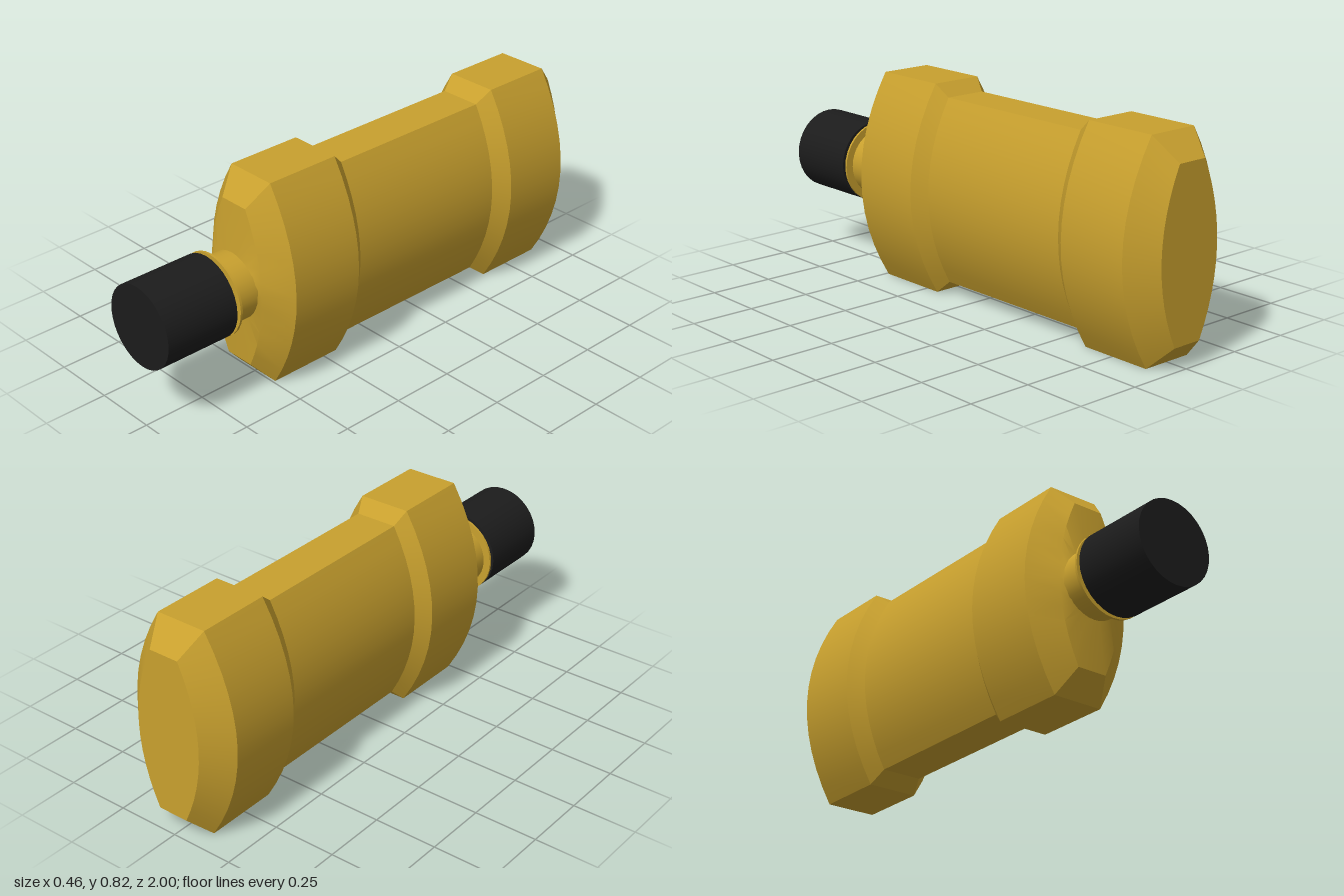
import * as THREE from 'three';
import { toCreasedNormals } from 'three/addons/utils/BufferGeometryUtils.js';

const CENTRE_Y = 0.408;
const SIDE_STEPS = 12;

// Lens outline with flat top and bottom, counter-clockwise seen from the front
function lensOutline(halfW, halfH) {
  const right = [];
  for (let i = 0; i <= SIDE_STEPS; i++) {
    const t = (i / SIDE_STEPS) * 2 - 1;
    right.push([halfW * (1 - 0.553 * t * t), halfH * t]);
  }
  return [...right, ...right.slice().reverse().map(([x, y]) => [-x, y])];
}

// Skin a list of { z, points } rings from back to front, closing the back
function loft(rings) {
  const n = rings[0].points.length;
  const position = [];
  const index = [];
  for (const { z, points } of rings) {
    for (const [x, y] of points) position.push(x, y, z);
  }
  for (let r = 0; r < rings.length - 1; r++) {
    for (let j = 0; j < n; j++) {
      const a = r * n + j;
      const b = r * n + ((j + 1) % n);
      index.push(a, b, b + n, a, b + n, a + n);
    }
  }
  const centre = position.length / 3;
  position.push(0, 0, rings[0].z);
  for (let j = 0; j < n; j++) index.push(centre, (j + 1) % n, j);
  const geometry = new THREE.BufferGeometry();
  geometry.setAttribute('position', new THREE.Float32BufferAttribute(position, 3));
  geometry.setIndex(index);
  return toCreasedNormals(geometry, 0.5);
}

export function createModel() {
  const group = new THREE.Group();
  const gold = new THREE.MeshStandardMaterial({ color: 0xc8a02e });
  const black = new THREE.MeshStandardMaterial({ color: 0x1c1c1c });

  const add = (name, geometry, material) => {
    const mesh = new THREE.Mesh(geometry, material);
    mesh.name = name;
    mesh.position.y = CENTRE_Y;
    group.add(mesh);
  };

  // Flask body: two raised bands joined by a narrower waist
  const rings = [
    [-1, 0.137, 0.32],
    [-0.91, 0.23, 0.408],
    [-0.62, 0.23, 0.408],
    [-0.56, 0.185, 0.36],
    [0.14, 0.185, 0.36],
    [0.19, 0.23, 0.408],
    [0.49, 0.23, 0.408],
    [0.57, 0.137, 0.32],
  ].map(([z, w, h]) => ({ z, points: lensOutline(w, h) }));

  // Shoulder drawing in to the round neck
  const shoulder = rings[rings.length - 1].points.map(([x, y]) => {
    const k = 0.128 / Math.hypot(x, y);
    return [x * k, y * k];
  });
  rings.push({ z: 0.587, points: shoulder });
  add('body', loft(rings), gold);

  // Round parts along the z axis
  const barrel = (name, radius, z0, z1, material) => {
    const geometry = new THREE.CylinderGeometry(radius, radius, z1 - z0, 32);
    geometry.rotateX(Math.PI / 2).translate(0, 0, (z0 + z1) / 2);
    add(name, geometry, material);
  };
  barrel('neck', 0.13, 0.575, 0.705, gold);
  barrel('neckRing', 0.16, 0.676, 0.685, gold);
  barrel('cap', 0.16, 0.7, 1, black);

  return group;
}
